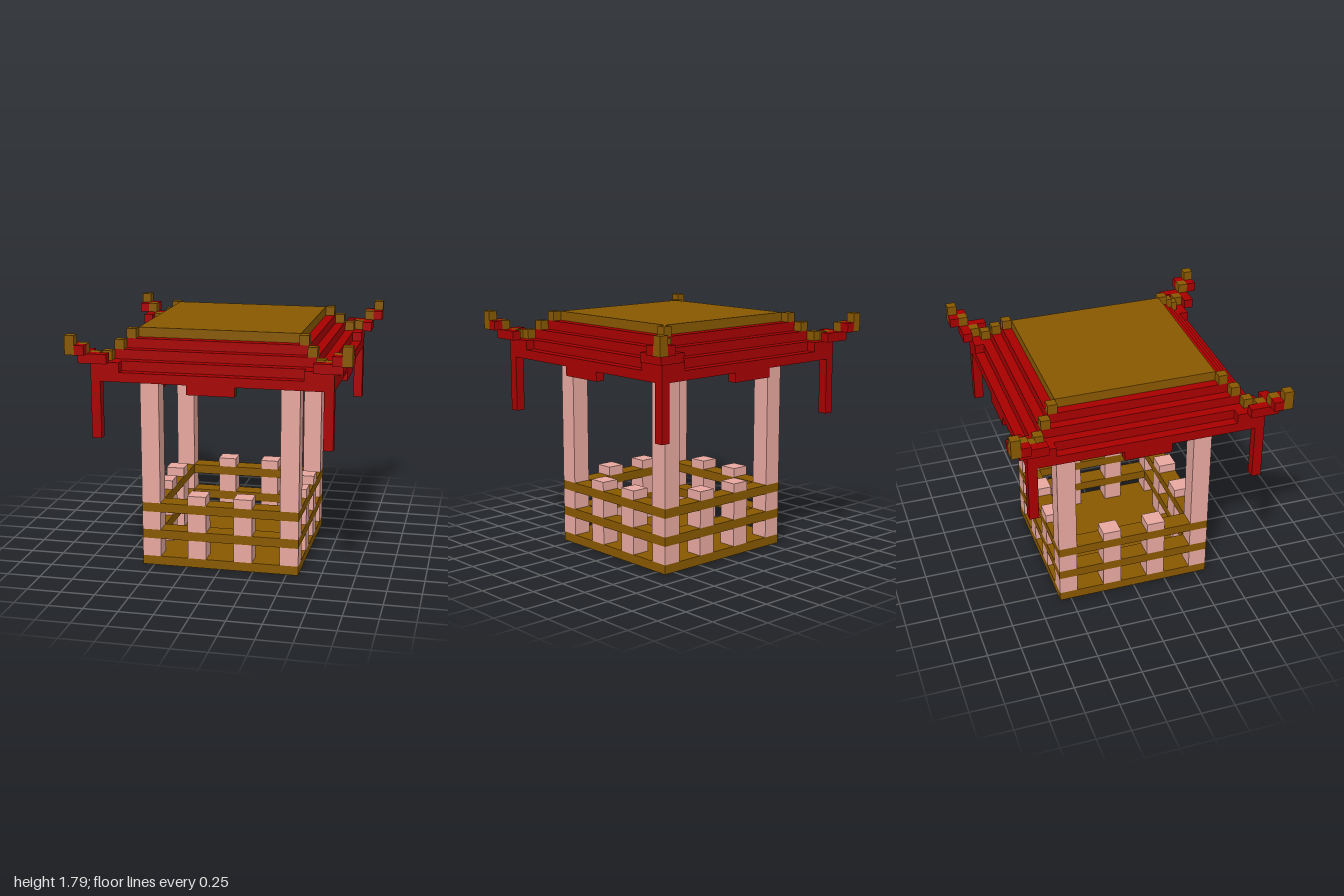
import * as THREE from 'three';

const U = 2 / 29; // one block

function material(name, color) {
  const m = new THREE.MeshStandardMaterial({ color });
  m.name = name;
  return m;
}

export function createModel() {
  const wood = material('brown wood', 0x885800);
  const red = material('red lacquer', 0xa70000);
  const pink = material('pale pink', 0xeaaaa1);
  const model = new THREE.Group();
  model.name = 'pavilion';

  // Box given by its limits in block units
  function block(parent, name, mat, x0, x1, y0, y1, z0, z1) {
    const geo = new THREE.BoxGeometry((x1 - x0) * U, (y1 - y0) * U, (z1 - z0) * U);
    const mesh = new THREE.Mesh(geo, mat);
    mesh.position.set((x0 + x1) / 2 * U, (y0 + y1) / 2 * U, (z0 + z1) / 2 * U);
    mesh.name = name;
    parent.add(mesh);
  }
  const slab = (name, mat, r, y0, y1) => block(model, name, mat, -r, r, y0, y1, -r, r);

  // Floor and stepped roof
  slab('floor', wood, 8.5, 0, 1);
  for (let i = 0; i < 4; i++) slab('roofStep', red, 12.5 - i, 21 + i, 22 + i);
  slab('roofTop', wood, 8.5, 25, 26);

  // Four sides, each turned a quarter
  for (let q = 0; q < 4; q++) {
    const side = new THREE.Group();
    side.name = 'side';
    side.rotation.y = q * Math.PI / 2;
    model.add(side);

    // Railing bars, as deep as the posts and wrapping one corner each
    for (const y of [3, 6]) block(side, 'rail', wood, -8.5, 6.5, y, y + 1, 6.5, 8.5);

    // Post sections between the rails
    for (const [y0, y1] of [[1, 3], [4, 6], [7, 21]]) {
      block(side, 'cornerPost', pink, 6.5, 8.5, y0, y1, 6.5, 8.5);
      for (const x of [-3.5, 1.5]) {
        block(side, 'railPost', pink, x, x + 2, y0, Math.min(y1, 8), 6.5, 8.5);
      }
    }

    // Plate below the middle of the eave, and hanging corner post
    block(side, 'eavePlate', red, -2.5, 2.5, 20, 21, 11.5, 12.5);
    block(side, 'hangingPost', red, 11.5, 12.5, 15, 21, 11.5, 12.5);

    // Upturned eave corner
    block(side, 'raisedEave', red, 9.5, 12.5, 22, 23, 11.5, 12.5);
    block(side, 'raisedEave', red, 11.5, 12.5, 22, 23, 9.5, 11.5);
    block(side, 'cornerArm', red, 10.5, 13.5, 23, 24, 12.5, 13.5);
    block(side, 'cornerArm', red, 12.5, 13.5, 23, 24, 10.5, 12.5);
    block(side, 'cornerTip', red, 12.5, 13.5, 24, 25, 13.5, 14.5);
    block(side, 'cornerTip', red, 13.5, 14.5, 24, 25, 12.5, 13.5);

    // Diagonal ridge of blocks ending in a tall finial
    [25, 24, 23, 23, 24].forEach((y, i) => {
      block(side, 'ridgeBlock', wood, 8.5 + i, 9.5 + i, y, y + 1, 8.5 + i, 9.5 + i);
    });
    block(side, 'finial', wood, 13.5, 14.5, 24, 26, 13.5, 14.5);
  }
  return model;
}
